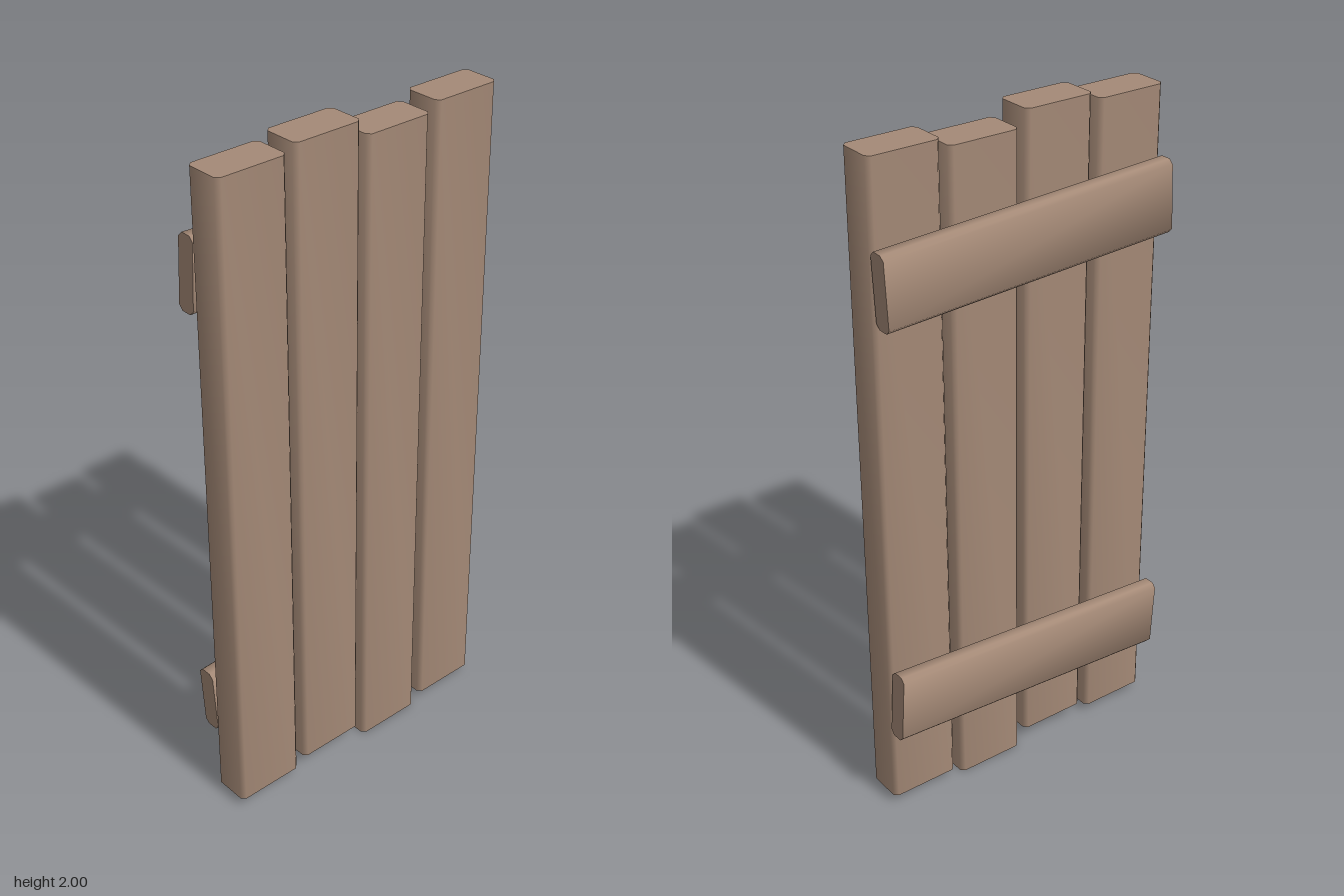
import * as THREE from 'three';
import { toCreasedNormals } from 'three/addons/utils/BufferGeometryUtils.js';

const wood = new THREE.MeshStandardMaterial({ color: 0xa58a77 });
wood.name = 'wood';

// Board with chamfered long edges, centred, running along z
function boardGeometry(width, height, length, c) {
  const w = width / 2, h = height / 2;
  const outline = new THREE.Shape([
    [w - c, -h], [w, -h + c], [w, h - c], [w - c, h],
    [-w + c, h], [-w, h - c], [-w, -h + c], [-w + c, -h],
  ].map(([x, y]) => new THREE.Vector2(x, y)));
  const geometry = new THREE.ExtrudeGeometry(outline, { depth: length, bevelEnabled: false });
  geometry.translate(0, 0, -length / 2);
  return geometry;
}

function addBoard(group, name, geometry, x, y, z) {
  const mesh = new THREE.Mesh(toCreasedNormals(geometry, Math.PI / 3), wood);
  mesh.name = name;
  mesh.position.set(x, y, z);
  group.add(mesh);
  return mesh;
}

export function createModel() {
  const group = new THREE.Group();
  group.name = 'plankPanel';

  // Upright planks: z centre, bottom, top
  const planks = [
    [0.354, 0.027, 1.98],
    [0.117, 0.05, 2.0],
    [-0.118, 0.0, 1.955],
    [-0.355, 0.027, 1.98],
  ];
  planks.forEach(([z, bottom, top], i) => {
    const geometry = boardGeometry(0.115, 0.213, top - bottom, 0.012).rotateX(Math.PI / 2);
    addBoard(group, `plank${i + 1}`, geometry, 0.028, (bottom + top) / 2, z);
  });

  // Slightly crooked cross battens: name, y centre, tilt
  const battens = [
    ['upperBatten', 1.66, -0.045],
    ['lowerBatten', 0.346, 0.06],
  ];
  for (const [name, y, tilt] of battens) {
    const batten = addBoard(group, name, boardGeometry(0.057, 0.212, 0.918, 0.013), -0.0585, y, -0.001);
    batten.rotation.x = tilt;
  }
  return group;
}
